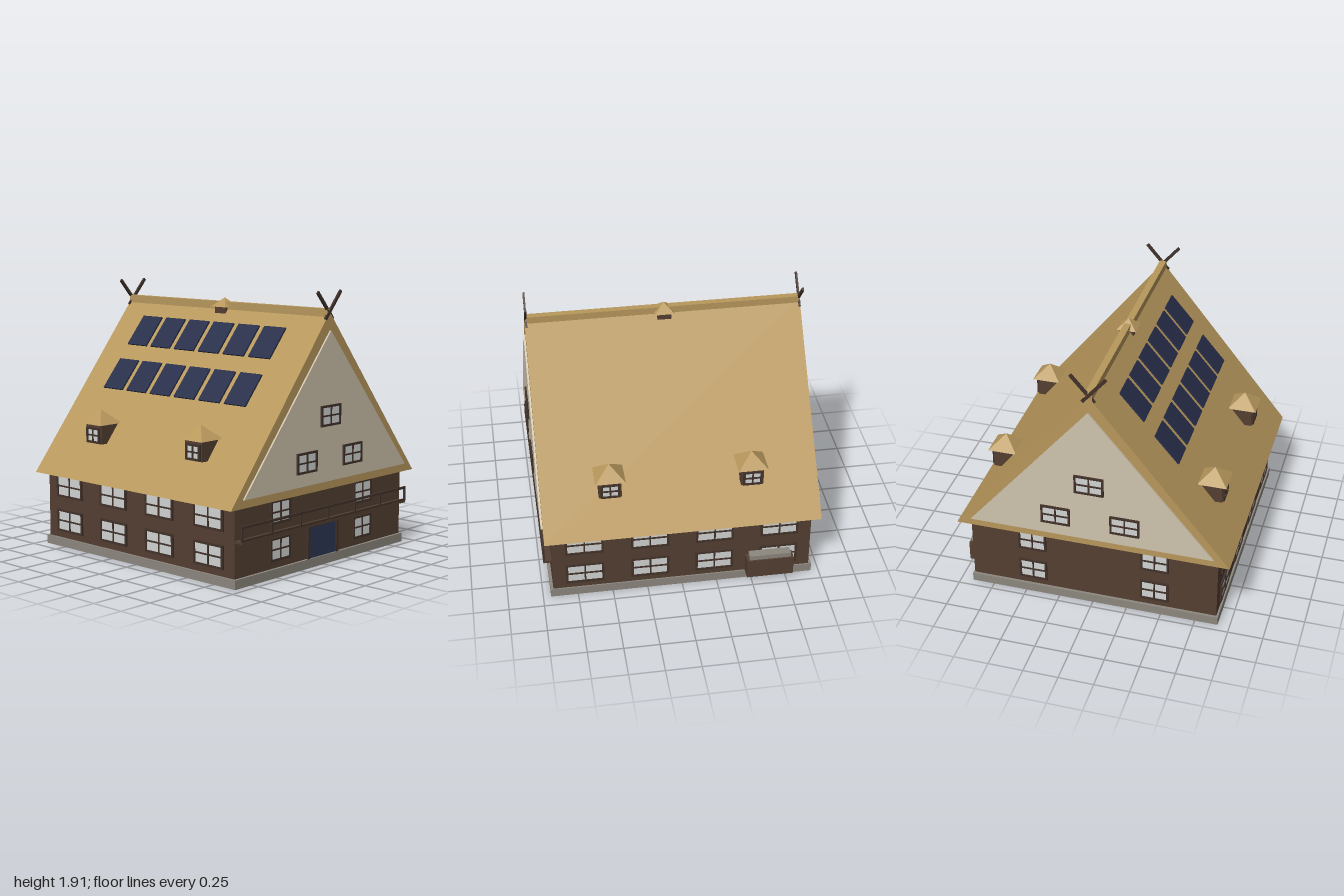
import * as THREE from 'three';

const mat = (name, color, side = THREE.FrontSide) => {
  const m = new THREE.MeshStandardMaterial({ color, side });
  m.name = name;
  return m;
};

export function createModel() {
  const model = new THREE.Group();
  model.name = 'farmhouse';
  const thatch = mat('thatch', 0xb8985c);
  const wood = mat('brown wood', 0x543f32);
  const dark = mat('dark wood', 0x42322a);
  const plaster = mat('plaster', 0xd0c4ae);
  const stone = mat('stone', 0x8c877e);
  const glass = mat('glass', 0xd2d5d5);
  const blue = mat('door blue', 0x2c3655);
  const solar = mat('solar blue', 0x272e4a);

  const add = (name, geo, material, x = 0, y = 0, z = 0, parent = model) => {
    const mesh = new THREE.Mesh(geo, material);
    mesh.name = name;
    mesh.position.set(x, y, z);
    parent.add(mesh);
    return mesh;
  };
  // Box given by its limits
  const box = (name, material, [x0, x1], [y0, y1], [z0, z1], parent = model) =>
    add(name, new THREE.BoxGeometry(x1 - x0, y1 - y0, z1 - z0), material,
      (x0 + x1) / 2, (y0 + y1) / 2, (z0 + z1) / 2, parent);
  // Triangular prism centred on z = 0
  const prism = (name, material, half, y0, y1, depth, z) => {
    const s = new THREE.Shape();
    s.moveTo(-half, y0);
    s.lineTo(half, y0);
    s.lineTo(0, y1);
    const geo = new THREE.ExtrudeGeometry(s, { depth, bevelEnabled: false });
    geo.translate(0, 0, -depth / 2);
    return add(name, geo, material, 0, 0, z);
  };
  // Square pyramid standing on y
  const pyramid = (name, half, height, x, y, z, parent = model) => {
    const geo = new THREE.ConeGeometry(half * Math.SQRT2, height, 4, 1).toNonIndexed();
    geo.rotateY(Math.PI / 4);
    geo.computeVertexNormals();
    return add(name, geo, thatch, x, y + height / 2, z, parent);
  };
  // Four-pane window facing local +z, turned by angle about y
  const windowAt = (w, h, x, y, z, angle, parent = model, bar = 0.015) => {
    const g = new THREE.Group();
    g.name = 'window';
    const s = new THREE.Shape();
    s.moveTo(-w / 2, -h / 2);
    s.lineTo(w / 2, -h / 2);
    s.lineTo(w / 2, h / 2);
    s.lineTo(-w / 2, h / 2);
    const pw = (w - bar * 2.7) / 2, ph = (h - bar * 2.7) / 2, m = bar * 0.35;
    for (const sx of [-1, 1]) for (const sy of [-1, 1]) {
      const p = new THREE.Path();
      p.moveTo(sx * m, sy * m);
      p.lineTo(sx * m, sy * (m + ph));
      p.lineTo(sx * (m + pw), sy * (m + ph));
      p.lineTo(sx * (m + pw), sy * m);
      s.holes.push(p);
    }
    add('window frame', new THREE.ExtrudeGeometry(s, { depth: 0.014, bevelEnabled: false }), dark, 0, 0, 0, g);
    add('window glass', new THREE.BoxGeometry(w - bar, h - bar, 0.008), glass, 0, 0, 0.003, g);
    g.position.set(x, y, z);
    g.rotation.y = angle;
    parent.add(g);
  };

  // Plinth and walls
  box('plinth', stone, [-0.915, 0.91], [0, 0.064], [-0.945, 0.945]);
  box('walls', wood, [-0.9, 0.9], [0.064, 0.541], [-0.925, 0.925]);

  // Roof, ridge cap and gable panels
  prism('roof', thatch, 0.988, 0.54, 1.765, 1.95, 0);
  box('ridge cap', thatch, [-0.027, 0.022], [1.72, 1.787], [-0.972, 0.972]);
  for (const s of [-1, 1]) prism('gable panel', plaster, 0.876, 0.598, 1.64, 0.02, s * 0.978);

  // Wall and gable windows, front and back
  for (const s of [-1, 1]) {
    const a = s > 0 ? 0 : Math.PI;
    for (const x of [-0.45, 0.445]) {
      windowAt(0.205, 0.162, x, 0.195, s * 0.925, a);
      windowAt(0.205, 0.162, x, 0.451, s * 0.925, a);
    }
    for (const x of [-0.25, 0.245]) windowAt(0.21, 0.145, x, 0.761, s * 0.986, a);
    windowAt(0.21, 0.145, 0, 1.058, s * 0.986, a);
  }

  // Side windows and dormers
  for (const s of [-1, 1]) {
    for (const z of [-0.695, -0.23, 0.23, 0.695]) for (const y of [0.194, 0.451])
      windowAt(0.27, 0.164, s * 0.9, y, z, s * Math.PI / 2);
    for (const z of [-0.5, 0.495]) {
      const d = new THREE.Group();
      d.name = 'dormer';
      model.add(d);
      const xs = [0.66 * s, 0.838 * s].sort((a, b) => a - b);
      box('dormer walls', wood, xs, [0.79, 0.932], [z - 0.079, z + 0.079], d);
      pyramid('dormer roof', 0.105, 0.097, s * 0.765, 0.93, z, d);
      windowAt(0.134, 0.112, s * 0.838, 0.851, z, s * Math.PI / 2, d);
    }
  }

  // Ridge turret
  box('turret walls', wood, [-0.05, 0.05], [1.68, 1.752], [-0.05, 0.05]);
  pyramid('turret roof', 0.07, 0.065, -0.003, 1.75, 0);

  // Crossed gable finials
  for (const z of [-0.967, 0.967]) for (const s of [-1, 1]) {
    const f = add('finial', new THREE.BoxGeometry(0.022, 0.25, 0.014), dark, s * 0.04, 1.81, z + s * 0.002);
    f.rotation.z = -s * 0.715;
  }

  // Solar panels on the right-hand slope
  for (const [x, y] of [[-0.467, 1.247], [-0.222, 1.548]])
    for (let i = 0; i < 6; i++) {
      const p = add('solar panel', new THREE.BoxGeometry(0.26, 0.012, 0.195), solar, x, y, -0.604 + i * 0.2416);
      p.rotation.z = 0.865;
    }

  // Door with its frame
  box('door', blue, [-0.145, 0.14], [0.064, 0.288], [0.92, 0.934]);
  for (const x of [-0.157, 0.152]) box('door post', dark, [x - 0.012, x + 0.012], [0.064, 0.305], [0.92, 0.942]);
  box('door lintel', dark, [-0.145, 0.14], [0.286, 0.305], [0.92, 0.942]);

  // Balcony with open railing
  box('balcony floor', wood, [-0.895, 0.895], [0.305, 0.322], [0.92, 0.985]);
  box('top rail', dark, [-0.895, 0.895], [0.408, 0.424], [0.973, 0.985]);
  box('bottom rail', dark, [-0.895, 0.895], [0.322, 0.334], [0.975, 0.984]);
  for (let i = -3; i <= 3; i++) {
    const x = i * 0.296;
    box('rail post', dark, [x - 0.006, x + 0.006], [0.32, 0.425], [0.972, 0.986]);
  }

  // Storage bin on the left wall
  box('bin', wood, [0.905, 0.988], [0.064, 0.212], [-0.792, -0.456]);
  box('bin lid', stone, [0.915, 0.978], [0.212, 0.248], [-0.772, -0.476]);

  return model;
}
